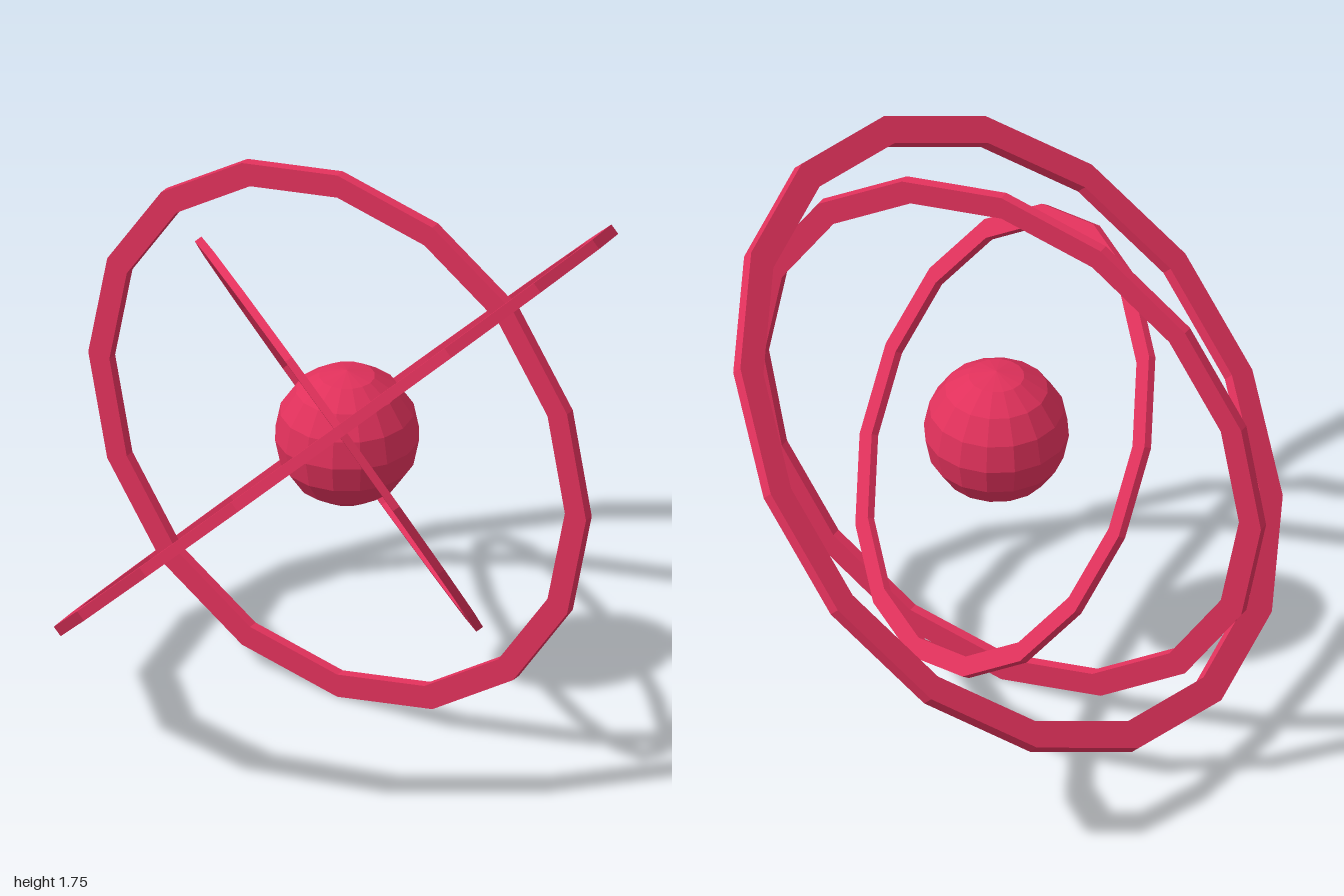
import * as THREE from 'three';

const crimson = new THREE.MeshStandardMaterial({ color: 0xe0315b, flatShading: true });
crimson.name = 'crimson';

// Flat hoop with a rectangular section, axis along y
function makeRing(name, radius) {
  const inner = radius * 0.915;
  const h = radius * 0.017;
  const section = [[radius, -h], [radius, h], [inner, h], [inner, -h], [radius, -h]]
    .map(([x, y]) => new THREE.Vector2(x, y));
  const ring = new THREE.Mesh(new THREE.LatheGeometry(section, 16), crimson);
  ring.name = name;
  return ring;
}

export function createModel() {
  const model = new THREE.Group();
  model.name = 'armillarySphere';
  const tilt = Math.PI / 4;

  // Core ball
  const core = new THREE.Mesh(new THREE.SphereGeometry(0.213, 16, 8), crimson);
  core.name = 'core';
  core.position.set(0.027, 0.886, 0);

  // Large ring, leaning 45 degrees sideways
  const outer = makeRing('outerRing', 1);
  outer.rotation.z = tilt;
  outer.position.set(-0.012, 0.885, 0);

  // Upright ring facing the front
  const middle = makeRing('middleRing', 0.875);
  middle.rotation.x = Math.PI / 2;
  middle.position.set(0, 0.875, -0.003);

  // Small ring, tilted about two axes
  const inner = makeRing('innerRing', 0.7);
  inner.rotation.set(-tilt, 0, -tilt, 'ZXY');
  inner.position.set(-0.01, 0.867, -0.012);

  model.add(core, outer, middle, inner);
  return model;
}
